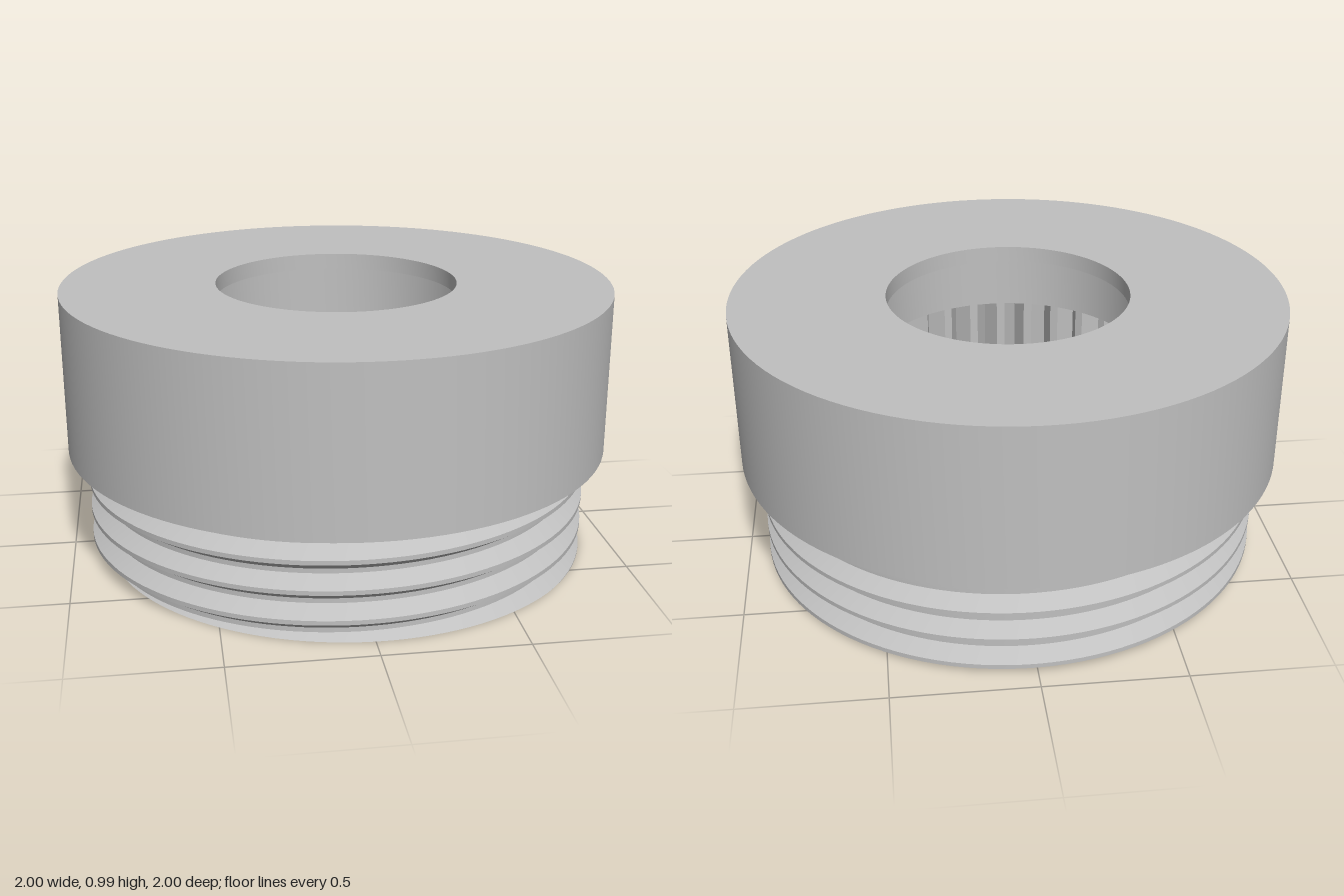
import * as THREE from 'three';
import { toCreasedNormals } from 'three/addons/utils/BufferGeometryUtils.js';

const SEG = 120, BORE = 0.82, FLOOR = 0.175, CEILING = 0.72, COLLAR = 0.4;

function lathe(points) {
  const geo = new THREE.LatheGeometry(points.map(([r, y]) => new THREE.Vector2(r, y)), SEG);
  return toCreasedNormals(geo.toNonIndexed(), 0.5);
}

// Helical thread: one pitch of profile is shifted upward with the angle and clipped to the neck
function threadGeometry() {
  const pitch = 0.107, start = 0.005, root = 0.876, crest = 0.93;
  const profile = [[-0.045, root], [-0.008, crest], [0.008, crest], [0.045, root]];
  const radiusAt = (d) => {
    d = Math.abs(d - pitch * Math.round(d / pitch));
    return THREE.MathUtils.lerp(crest, root, THREE.MathUtils.clamp((d - 0.008) / 0.037, 0, 1));
  };
  const positions = [], index = [];
  let rows = 0;
  for (let i = 0; i <= SEG; i++) {
    const a = (i / SEG) * Math.PI * 2, offset = start + (pitch * i) / SEG;
    const column = [[BORE, 0], [radiusAt(-offset), 0]];
    for (let k = -2; k <= 4; k++) {
      for (const [dy] of profile) {
        const y = THREE.MathUtils.clamp(offset + k * pitch + dy, 0, COLLAR);
        column.push([radiusAt(y - offset), y]);
      }
    }
    column.push([radiusAt(COLLAR - offset), COLLAR]);
    rows = column.length;
    for (const [r, y] of column) positions.push(r * Math.cos(a), y, -r * Math.sin(a));
  }
  for (let i = 0; i < SEG; i++) {
    for (let j = 0; j < rows - 1; j++) {
      const p = i * rows + j, q = p + rows;
      index.push(p, q, q + 1, p, q + 1, p + 1);
    }
  }
  const geo = new THREE.BufferGeometry();
  geo.setAttribute('position', new THREE.Float32BufferAttribute(positions, 3));
  geo.setIndex(index);
  return toCreasedNormals(geo.toNonIndexed(), 0.3);
}

// Ring with V-shaped grooves cut around its inner wall
function splineGeometry() {
  const teeth = 30, step = (Math.PI * 2) / teeth, phase = -Math.PI / 4 + step / 2;
  const ring = new THREE.Shape().absarc(0, 0, BORE, 0, Math.PI * 2, false);
  const points = [];
  for (let i = 0; i < teeth; i++) {
    for (const [t, r] of [[0, 0.587], [0.36, 0.525], [0.64, 0.525]]) {
      const a = phase + (i + t) * step;
      points.push(new THREE.Vector2(r * Math.cos(a), r * Math.sin(a)));
    }
  }
  ring.holes.push(new THREE.Path(points));
  const geo = new THREE.ExtrudeGeometry(ring, {
    depth: CEILING - FLOOR, bevelEnabled: false, curveSegments: SEG / 2,
  });
  return geo.rotateX(-Math.PI / 2).translate(0, FLOOR, 0);
}

export function createModel() {
  const model = new THREE.Group();
  model.name = 'threadedSplineCap';
  const steel = new THREE.MeshStandardMaterial({ color: 0xc0c0c0 });
  steel.name = 'grey metal';
  const add = (name, geometry) => {
    const mesh = new THREE.Mesh(geometry, steel);
    mesh.name = name;
    model.add(mesh);
  };

  // Wide collar with its lipped top hole and the ceiling above the splines
  add('collar', lathe([
    [0.86, COLLAR], [1, COLLAR], [1, 0.985], [0.44, 0.985], [0.44, 0.925],
    [0.5, 0.925], [0.5, CEILING], [0.6, CEILING],
  ]));
  // Threaded neck, its bottom rim and the smooth lower bore
  add('threadedNeck', threadGeometry());
  add('lowerBore', lathe([[BORE, FLOOR], [BORE, 0]]));
  // Splined inner ring
  add('splineRing', splineGeometry());
  return model;
}
